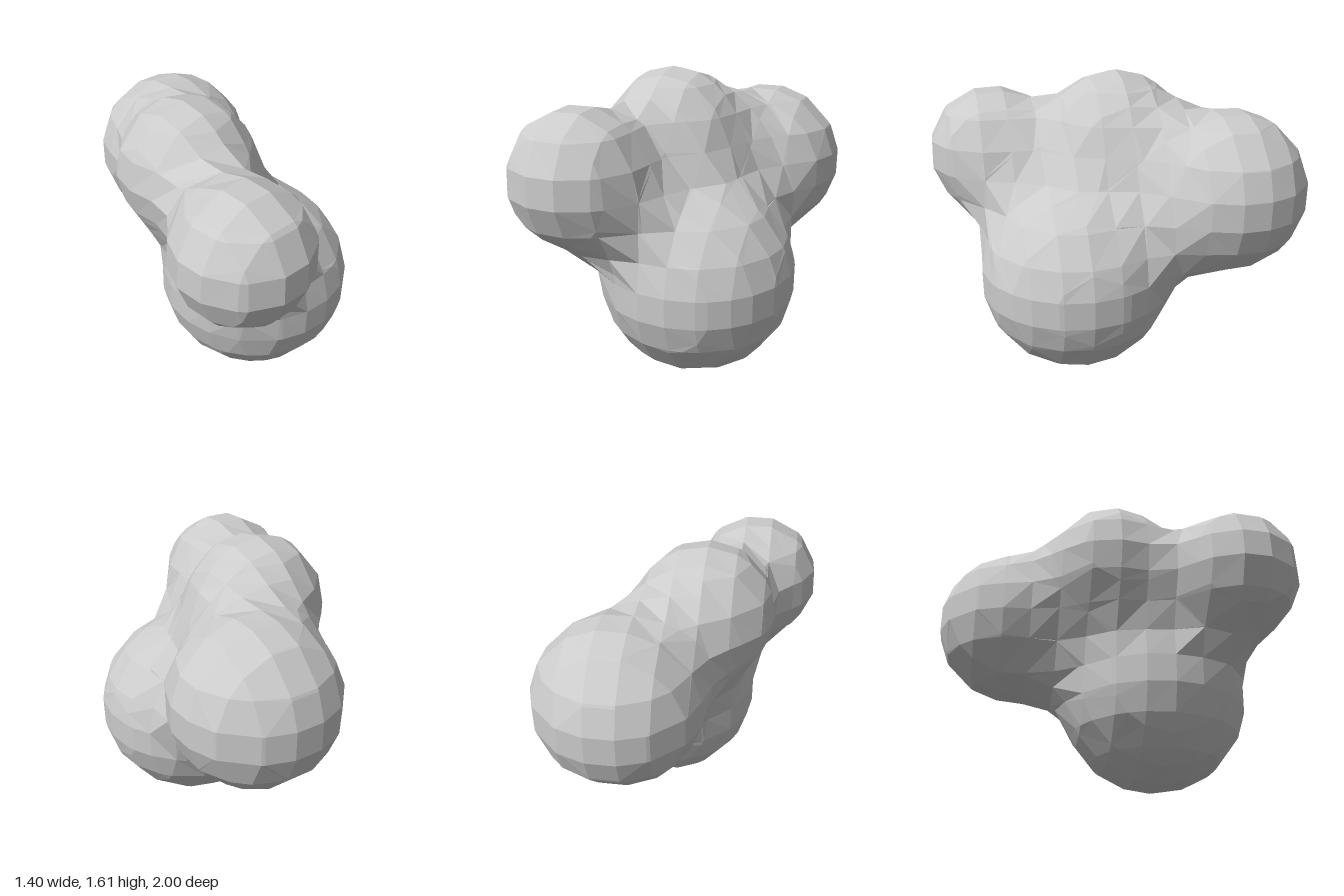
import * as THREE from 'three';

// Soft balls that melt together: centre and radius
const BALLS = [
  { c: [0.15, 0.535, 0.265], r: 0.535 },   // large lower ball
  { c: [-0.345, 1.13, 0.645], r: 0.368 },  // small front ball
  { c: [0.263, 0.993, -0.562], r: 0.448 }, // back ball
  { c: [-0.11, 1.23, -0.02], r: 0.38 },    // top middle ball
];
const STEP = 0.153;
const ORIGIN = [-0.12 - 5 * STEP, -0.003 - STEP, -0.03 - 8 * STEP];
const CELLS = [12, 14, 16];
const LEVEL = 0.6;
const REACH = 1 / (1 - Math.cbrt(LEVEL / 2)); // (influence / radius) squared

// Positive inside the blob
function field(p) {
  let sum = -LEVEL;
  for (const { c, r } of BALLS) {
    const d2 = (p[0] - c[0]) ** 2 + (p[1] - c[1]) ** 2 + (p[2] - c[2]) ** 2;
    sum += 2 * Math.max(0, 1 - d2 / (r * r * REACH)) ** 3;
  }
  return sum;
}

// Surface point between an inside and an outside point, by bisection
function crossing(inside, outside) {
  let a = inside, b = outside;
  for (let i = 0; i < 14; i++) {
    const m = a.map((v, k) => (v + b[k]) / 2);
    if (field(m) > 0) a = m; else b = m;
  }
  return a;
}

// The six cube faces as corner loops, counter-clockwise from outside
const FACES = [];
for (let axis = 0; axis < 3; axis++) {
  const a = 1 << axis, u = 1 << (axis + 1) % 3, v = 1 << (axis + 2) % 3;
  FACES.push([a, a + u, a + u + v, a + v], [0, v, u + v, u]);
}

// Cut one grid cell: link edge crossings face by face, then fan each closed loop
function cutCell(i, j, k, out) {
  const corners = [], inside = [];
  for (let n = 0; n < 8; n++) {
    const g = [i + (n & 1), j + ((n >> 1) & 1), k + (n >> 2)];
    corners.push(g.map((v, d) => ORIGIN[d] + v * STEP));
    inside.push(field(corners[n]) > 0);
  }
  const next = new Map();
  for (const f of FACES) {
    for (let s = 0; s < 4; s++) {
      if (inside[f[s]] || !inside[f[(s + 1) % 4]]) continue;
      let e = s + 1;
      while (inside[f[(e + 1) % 4]]) e++;
      // key: inside corner * 8 + outside corner
      next.set(f[(s + 1) % 4] * 8 + f[s], f[e % 4] * 8 + f[(e + 1) % 4]);
    }
  }
  while (next.size) {
    const loop = [];
    let key = next.keys().next().value;
    while (next.has(key)) {
      loop.push(crossing(corners[key >> 3], corners[key & 7]));
      const to = next.get(key);
      next.delete(key);
      key = to;
    }
    for (let n = 1; n < loop.length - 1; n++) out.push(...loop[0], ...loop[n], ...loop[n + 1]);
  }
}

export function createModel() {
  const points = [];
  for (let i = 0; i < CELLS[0]; i++)
    for (let j = 0; j < CELLS[1]; j++)
      for (let k = 0; k < CELLS[2]; k++) cutCell(i, j, k, points);

  const geometry = new THREE.BufferGeometry();
  geometry.setAttribute('position', new THREE.Float32BufferAttribute(points, 3));
  geometry.computeVertexNormals();

  const blob = new THREE.Mesh(
    geometry,
    new THREE.MeshStandardMaterial({ color: 0xcccccc, flatShading: true })
  );
  blob.name = 'blob';

  const group = new THREE.Group();
  group.name = 'blendedBalls';
  group.add(blob);
  return group;
}
